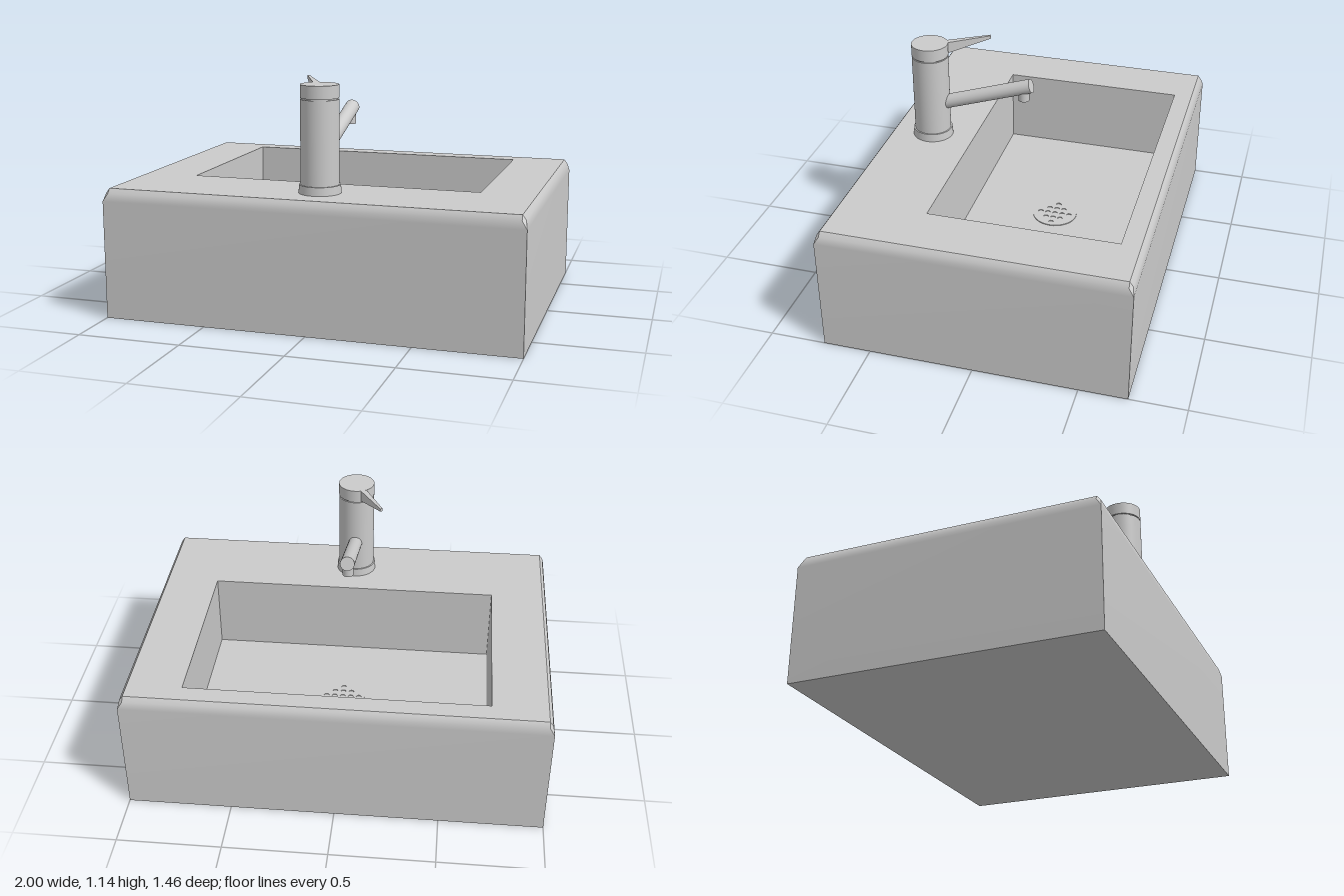
import * as THREE from 'three';

const W = 1, D = 0.73, H = 0.63, FLOOR = 0.25;
const BASIN = { x0: -0.715, x1: 0.715, z0: -0.615, z1: 0.29 };
const TAP = { x: 0.003, z: 0.505 };
const mat = new THREE.MeshStandardMaterial({ color: 0xcccccc });

function add(parent, name, geometry, x = 0, y = 0, z = 0) {
  const mesh = new THREE.Mesh(geometry, mat);
  mesh.name = name;
  mesh.position.set(x, y, z);
  parent.add(mesh);
  return mesh;
}

function indexed(points, index) {
  const g = new THREE.BufferGeometry();
  g.setAttribute('position', new THREE.Float32BufferAttribute(points.flat(), 3));
  g.setIndex(index);
  g.computeVertexNormals();
  return g;
}

const rect = (C, x0, x1, y0, y1) => {
  const s = new C();
  s.moveTo(x0, y0).lineTo(x1, y0).lineTo(x1, y1).lineTo(x0, y1).closePath();
  return s;
};

// Outer wall facing +z whose top edge rolls inward; rows are [height, inset, end trim]
function wallGeometry(halfWidth, depth) {
  const rows = [[0, 0, 0], [0.57, 0, 0], [0.607, 0.008, 0.024], [H, 0.025, 0.025]];
  const points = [], index = [];
  rows.forEach(([y, inset, trim], i) => {
    points.push([trim - halfWidth, y, depth - inset], [halfWidth - trim, y, depth - inset]);
    const a = 2 * i;
    if (i < 3) index.push(a, a + 1, a + 3, a, a + 3, a + 2);
  });
  return indexed(points, index);
}

// Small kite closing the gap between two rolled edges
function cornerGeometry(sx, sz) {
  const p = [[W, 0.57, D], [W - 0.008, 0.607, D - 0.024], [W - 0.025, H, D - 0.025], [W - 0.024, 0.607, D - 0.008]]
    .map(([x, y, z]) => [x * sx, y, z * sz]);
  return indexed(p, sx * sz > 0 ? [0, 1, 3, 1, 2, 3] : [0, 3, 1, 1, 3, 2]);
}

function buildBasin() {
  const g = new THREE.Group();
  g.name = 'washbasin';
  for (let k = 0; k < 4; k++) {
    const geo = k % 2 ? wallGeometry(D, W) : wallGeometry(W, D);
    add(g, 'outerWall', geo.rotateY(k * Math.PI / 2));
  }
  for (const sx of [-1, 1]) for (const sz of [-1, 1]) add(g, 'cornerFacet', cornerGeometry(sx, sz));
  add(g, 'underside', new THREE.PlaneGeometry(2 * W, 2 * D).rotateX(Math.PI / 2));

  // Rim with the bowl opening
  const { x0, x1, z0, z1 } = BASIN;
  const rim = rect(THREE.Shape, 0.025 - W, W - 0.025, 0.025 - D, D - 0.025);
  rim.holes.push(rect(THREE.Path, x0, x1, -z1, -z0));
  add(g, 'rim', new THREE.ShapeGeometry(rim).rotateX(-Math.PI / 2), 0, H, 0);

  // Bowl walls face inwards
  const w = x1 - x0, d = z1 - z0, h = H - FLOOR, cx = (x0 + x1) / 2, cz = (z0 + z1) / 2, cy = FLOOR + h / 2;
  add(g, 'bowlFloor', new THREE.PlaneGeometry(w, d).rotateX(-Math.PI / 2), cx, FLOOR, cz);
  add(g, 'bowlWall', new THREE.PlaneGeometry(w, h), cx, cy, z0);
  add(g, 'bowlWall', new THREE.PlaneGeometry(w, h).rotateY(Math.PI), cx, cy, z1);
  add(g, 'bowlWall', new THREE.PlaneGeometry(d, h).rotateY(Math.PI / 2), x0, cy, cz);
  add(g, 'bowlWall', new THREE.PlaneGeometry(d, h).rotateY(-Math.PI / 2), x1, cy, cz);

  // Drain plate with a diamond of thirteen holes
  const plate = new THREE.Shape().absarc(0, 0, 0.11, 0, Math.PI * 2);
  for (let i = -2; i <= 2; i++) for (let j = -2; j <= 2; j++) {
    if (Math.abs(i) + Math.abs(j) > 2) continue;
    plate.holes.push(new THREE.Path().absarc(i * 0.041, j * 0.037, 0.013, 0, Math.PI * 2, true));
  }
  const drain = new THREE.ExtrudeGeometry(plate, { depth: 0.004, bevelEnabled: false, curveSegments: 16 });
  add(g, 'drainPlate', drain.rotateX(-Math.PI / 2), 0.014, FLOOR, -0.14);
  return g;
}

// Cylinder running between two points
function rod(parent, name, from, to, radius) {
  const a = new THREE.Vector3(...from), b = new THREE.Vector3(...to), dir = b.clone().sub(a);
  const mesh = add(parent, name, new THREE.CylinderGeometry(radius, radius, dir.length(), 32));
  mesh.position.copy(a).add(b).multiplyScalar(0.5);
  mesh.quaternion.setFromUnitVectors(new THREE.Vector3(0, 1, 0), dir.normalize());
}

function buildTap() {
  const g = new THREE.Group();
  g.name = 'tap';
  g.position.set(TAP.x, 0, TAP.z);
  const stack = [
    ['tapBase', 0.097, 0.1, H, 0.67],
    ['tapBody', 0.09, 0.09, 0.67, 1.065],
    ['tapNeck', 0.084, 0.084, 1.065, 1.071],
    ['tapCap', 0.09, 0.09, 1.071, 1.132],
  ];
  for (const [name, rTop, rBottom, y0, y1] of stack) {
    add(g, name, new THREE.CylinderGeometry(rTop, rBottom, y1 - y0, 48), 0, (y0 + y1) / 2, 0);
  }

  // Spout rises towards the bowl, outlet points down
  rod(g, 'spout', [0, 0.808, -0.04], [0, 0.967, -0.515], 0.035);
  rod(g, 'outlet', [0, 0.885, -0.478], [0, 0.95, -0.478], 0.027);

  // Lever: a box tapered towards its tip
  const lever = new THREE.BoxGeometry(1, 1, 1);
  const p = lever.attributes.position;
  for (let i = 0; i < p.count; i++) {
    const tip = p.getZ(i) < 0, top = p.getY(i) > 0;
    p.setXYZ(i,
      Math.sign(p.getX(i)) * (tip ? 0.006 : 0.016),
      tip ? (top ? 1.141 : 1.126) : (top ? 1.131 : 1.072),
      tip ? -0.305 : -0.075);
  }
  lever.computeVertexNormals();
  add(g, 'lever', lever).rotation.y = 0.495;
  return g;
}

export function createModel() {
  const model = new THREE.Group();
  model.name = 'basinWithTap';
  model.add(buildBasin(), buildTap());
  return model;
}
